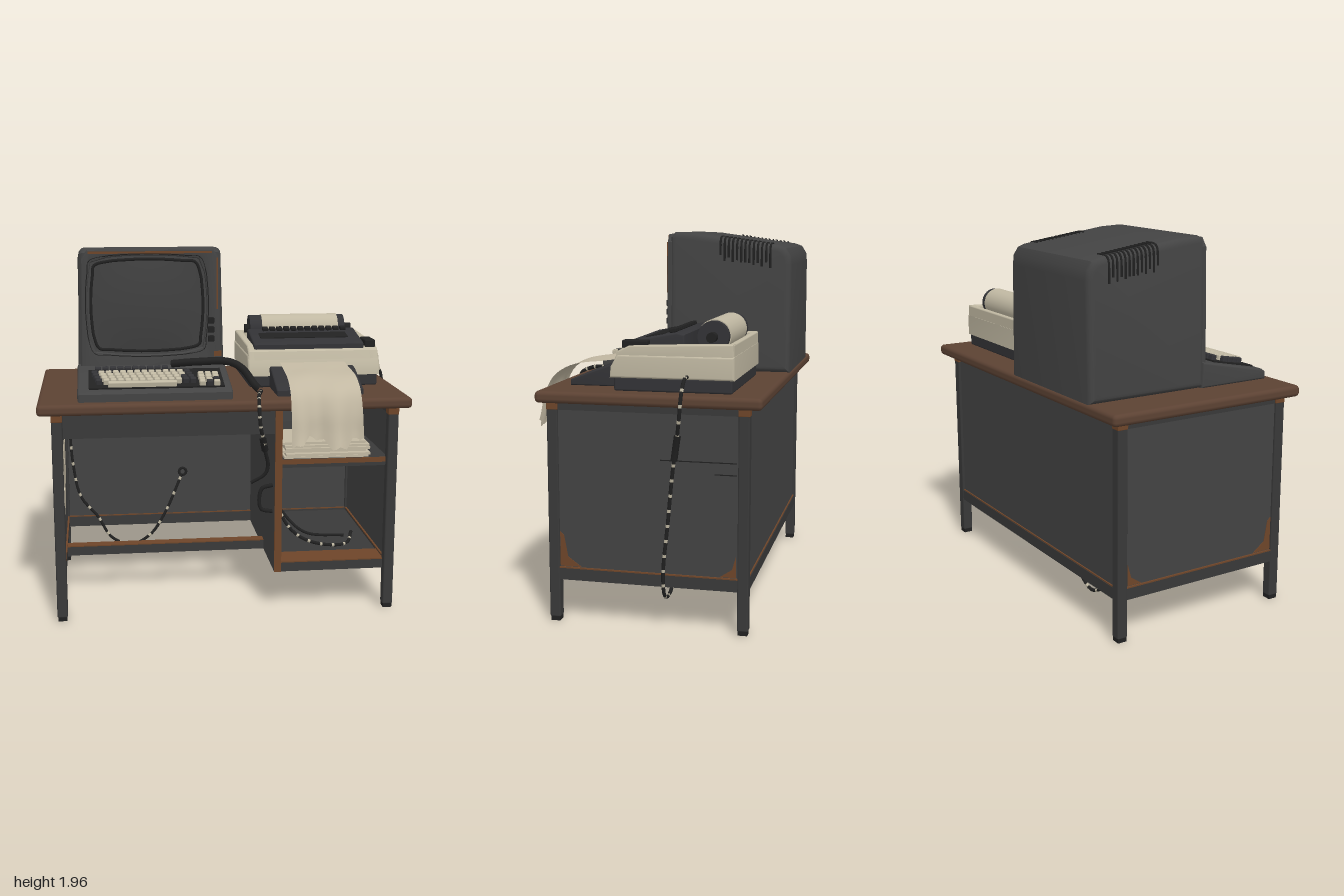
import * as THREE from 'three';
import { toCreasedNormals } from 'three/addons/utils/BufferGeometryUtils.js';
import { RoundedBoxGeometry } from 'three/addons/geometries/RoundedBoxGeometry.js';

const mat = (name, color, side = THREE.FrontSide) => {
  const m = new THREE.MeshStandardMaterial({ color, side });
  m.name = name;
  return m;
};
const V = (x, y, z) => new THREE.Vector3(x, y, z);

export function createModel() {
  const M = {
    grey: mat('dark grey metal', 0x434343),
    steel: mat('leg steel', 0x393939),
    glass: mat('screen glass', 0x404040),
    black: mat('black', 0x212121),
    plastic: mat('printer dark plastic', 0x333336),
    wood: mat('brown wood', 0x5c4233),
    rust: mat('rust', 0x6e4529, THREE.DoubleSide),
    cream: mat('cream plastic', 0xc0b8a2),
    paper: mat('paper', 0xc2b8a2, THREE.DoubleSide),
  };
  const root = new THREE.Group();
  const group = (name) => { const g = new THREE.Group(); g.name = name; root.add(g); return g; };
  const add = (parent, name, geo, m) => {
    const mesh = new THREE.Mesh(geo, m);
    mesh.name = name;
    parent.add(mesh);
    return mesh;
  };
  // Box given by its limits on each axis
  const box = (p, name, [x0, x1], [y0, y1], [z0, z1], m, r = 0) => {
    const s = [x1 - x0, y1 - y0, z1 - z0];
    const g = r ? new RoundedBoxGeometry(...s, 2, r) : new THREE.BoxGeometry(...s);
    return add(p, name, g.translate((x0 + x1) / 2, (y0 + y1) / 2, (z0 + z1) / 2), m);
  };
  // Side profile of [z, y] points, extruded from x0 to x1 with rounded edges
  const prism = (p, name, pts, x0, x1, b, m, rule) => {
    const shape = new THREE.Shape(pts.map(([z, y]) => new THREE.Vector2(z, y)));
    const g = new THREE.ExtrudeGeometry(shape, { depth: x1 - x0 - 2 * b, bevelEnabled: b > 0, bevelSize: b, bevelThickness: b, bevelOffset: -b, bevelSegments: 4 });
    g.translate(0, 0, b).rotateY(-Math.PI / 2).translate(x1, 0, 0);
    if (rule) rule(g.attributes.position);
    return add(p, name, toCreasedNormals(g, 0.6), m);
  };
  // Tube through points; a second material adds worn bands
  const tube = (p, name, pts, r, m, m2, closed = false) => {
    const n = pts.length * 8;
    const g = new THREE.TubeGeometry(new THREE.CatmullRomCurve3(pts.map((q) => V(...q)), closed), n, r, 6, closed);
    if (m2) for (let i = 0; i < n; i++) g.addGroup(i * 36, 36, i % 5 === 3 ? 1 : 0);
    return add(p, name, g, m2 ? [m, m2] : m);
  };
  // Flat patch on a side panel, from [z, y] points
  const patch = (p, name, pts, x, m) => prism(p, name, pts, x, x + 0.004, 0, m);

  // Desk
  const desk = group('desk');
  box(desk, 'tableTop', [-1, 0.97], [1.13, 1.19], [-0.63, 0.5], M.wood, 0.022);
  for (const x of [-0.9, 0.88]) for (const z of [-0.535, 0.43]) {
    box(desk, 'leg', [x - 0.028, x + 0.028], [0.02, 1.13], [z - 0.028, z + 0.028], M.steel, 0.008);
    box(desk, 'legFoot', [x - 0.024, x + 0.024], [0, 0.03], [z - 0.024, z + 0.024], M.black);
    box(desk, 'legTopRust', [x - 0.029, x + 0.029], [1.09, 1.13], [z - 0.029, z + 0.029], M.rust, 0.004);
  }
  for (const x of [-0.9, 0.88]) {
    const s = Math.sign(x);
    box(desk, 'sidePanel', [x - 0.015, x + 0.015], [0.26, 1.13], [-0.51, 0.41], M.grey);
    box(desk, 'sideRail', [x - 0.024, x + 0.024], [0.22, 0.28], [-0.51, 0.41], M.steel);
    box(desk, 'sideRailRust', [x - 0.025, x + 0.025], [0.28, 0.287], [-0.51, 0.41], M.rust);
    box(desk, 'sideTopRail', [x - 0.02, x + 0.02], [1.09, 1.13], [-0.51, 0.41], M.steel);
    patch(desk, 'cornerRust', [[0.4, 0.29], [0.29, 0.29], [0.36, 0.34], [0.38, 0.45], [0.4, 0.47]], x + s * 0.016 - 0.002, M.rust);
    patch(desk, 'cornerRust', [[-0.5, 0.29], [-0.42, 0.29], [-0.48, 0.33], [-0.5, 0.4]], x + s * 0.016 - 0.002, M.rust);
  }
  box(desk, 'panelSeam', [0.893, 0.898], [0.857, 0.862], [-0.5, -0.12], M.black);
  box(desk, 'panelSeam', [0.893, 0.898], [0.798, 0.803], [-0.5, -0.39], M.black);
  box(desk, 'backPanel', [-0.88, 0.86], [0.26, 1.13], [-0.55, -0.52], M.grey);
  box(desk, 'backRail', [-0.88, 0.86], [0.22, 0.28], [-0.56, -0.51], M.steel);
  box(desk, 'backRailRust', [-0.88, 0.86], [0.28, 0.286], [-0.557, -0.513], M.rust);
  box(desk, 'stretcher', [-0.88, 0.26], [0.22, 0.27], [-0.03, 0.03], M.steel);
  box(desk, 'stretcherRust', [-0.88, 0.26], [0.27, 0.276], [-0.03, 0.03], M.rust);
  box(desk, 'apronDrawer', [-0.87, 0.25], [0.99, 1.13], [0.36, 0.4], M.steel);
  patch(desk, 'peeledPaint', [[0.23, 0.84], [0.2, 0.9], [0.06, 0.88], [0.03, 0.72], [-0.02, 0.86], [-0.2, 0.86], [-0.22, 0.66], [-0.1, 0.6], [-0.03, 0.52],
    [0.08, 0.48], [0.12, 0.56], [0.05, 0.63], [0.16, 0.66], [0.12, 0.74]], -0.884, M.paper);
  patch(desk, 'darkStain', [[0.38, 0.36], [0.2, 0.4], [0.2, 0.58], [0.38, 0.54]], -0.884, M.black);

  // Pedestal with open shelves
  const ped = group('pedestal');
  box(ped, 'partition', [0.25, 0.285], [0.22, 1.13], [-0.52, 0.42], M.grey);
  box(ped, 'partitionEdge', [0.248, 0.287], [0.22, 1.13], [0.42, 0.427], M.rust);
  box(ped, 'pedestalFloor', [0.285, 0.865], [0.22, 0.27], [-0.52, 0.42], M.steel);
  box(ped, 'floorRust', [0.285, 0.865], [0.27, 0.276], [0.26, 0.42], M.rust);
  box(ped, 'shelf', [0.285, 0.865], [0.805, 0.85], [-0.52, 0.42], M.steel);
  box(ped, 'shelfEdgeRust', [0.285, 0.865], [0.825, 0.852], [0.42, 0.425], M.rust);
  tube(ped, 'handle', [[0.25, 0.69, 0.34], [0.19, 0.67, 0.34], [0.185, 0.56, 0.34], [0.25, 0.54, 0.34]], 0.011, M.black);
  for (let i = 0; i < 6; i++) {
    const o = 0.012 * Math.sin(i * 2.3);
    box(ped, 'paperStackLayer', [0.3 + o, 0.76 + o], [0.852 + i * 0.015, 0.864 + i * 0.015], [0.08, 0.41 + o], M.paper);
  }

  // Terminal: monitor housing narrows toward the top
  const term = group('terminal');
  const CX = -0.385;
  const narrow = (pos) => {
    for (let i = 0; i < pos.count; i++) {
      const k = 1 - 0.05 * (pos.getY(i) - 1.19) / 0.77;
      pos.setX(i, CX + (pos.getX(i) - CX) * k);
    }
  };
  prism(term, 'monitorHousing', [[0.045, 1.19], [0.045, 1.93], [0.02, 1.955], [-0.1, 1.95], [-0.56, 1.885], [-0.6, 1.87], [-0.625, 1.83], [-0.63, 1.78], [-0.63, 1.19]],
    CX - 0.405, CX + 0.405, 0.035, M.grey, narrow);
  // Screen outline: a square with bowed sides
  const bow = (u, v, w, h) => [CX - 0.02 + u * w * (1 - 0.08 * v * v), 1.645 + v * h * (1 - 0.08 * u * u)];
  const outline = (w, h) => {
    const pts = [];
    for (let s = 0; s < 4; s++) for (let i = 0; i < 8; i++) {
      const t = -0.94 + i * 0.235;
      pts.push(bow(...[[t, -1], [1, t], [-t, 1], [-1, -t]][s], w, h));
    }
    return pts;
  };
  const vec2 = (pts) => pts.map(([x, y]) => new THREE.Vector2(x, y));
  const front = new THREE.Shape(vec2([[-0.775, 1.2], [0.005, 1.2], [-0.012, 1.9], [-0.045, 1.945], [-0.725, 1.945], [-0.758, 1.9]]));
  front.holes.push(new THREE.Path(vec2(outline(0.325, 0.27))));
  add(term, 'frontBezel', toCreasedNormals(new THREE.ExtrudeGeometry(front, { depth: 0.02, bevelSize: 0.012, bevelThickness: 0.01, bevelOffset: -0.012, bevelSegments: 2 }).translate(0, 0, 0.035), 0.6), M.grey);
  const scr = new THREE.PlaneGeometry(2, 2, 16, 16), sp = scr.attributes.position;
  for (let i = 0; i < sp.count; i++) {
    const u = sp.getX(i), v = sp.getY(i);
    sp.setXYZ(i, ...bow(u, v, 0.31, 0.255), 0.047 + 0.025 * (1 - u * u) * (1 - v * v));
  }
  scr.computeVertexNormals();
  add(term, 'screen', scr, M.glass);
  tube(term, 'screenGasket', outline(0.305, 0.25).map(([x, y]) => [x, y, 0.05]), 0.009, M.black, null, true);
  tube(term, 'bezelEdge', outline(0.335, 0.28).map(([x, y]) => [x, y, 0.062]), 0.004, M.black, null, true);
  box(term, 'bezelTopRust', [-0.72, -0.05], [1.925, 1.937], [0.06, 0.067], M.rust);
  box(term, 'bezelSideRust', [-0.028, -0.018], [1.62, 1.9], [0.06, 0.067], M.rust);
  box(term, 'bezelLowerRust', [-0.04, 0], [1.36, 1.39], [0.06, 0.067], M.rust);
  for (const y of [1.46, 1.51, 1.56]) box(term, 'controlButton', [-0.075, -0.04], [y - 0.017, y + 0.017], [0.06, 0.078], M.black, 0.005);
  // Vent slats wrap over both upper edges
  for (const s of [-1, 1]) for (let i = 0; i < 13; i++) {
    const z = -0.24 - i * 0.023, top = 1.95 + (z + 0.1) * 0.141;
    const low = top - 0.1 - 0.03 * Math.abs(Math.sin(i * 1.7));
    tube(term, 'ventSlat', [[CX + s * 0.389, low, z], [CX + s * 0.387, top - 0.045, z], [CX + s * 0.376, top - 0.011, z], [CX + s * 0.345, top, z], [CX + s * 0.29, top, z]], 0.0065, M.black);
  }

  // Keyboard deck and keys
  prism(term, 'keyboardDeck', [[0.03, 1.19], [0.44, 1.19], [0.44, 1.23], [0.42, 1.245], [0.03, 1.325]], CX - 0.405, CX + 0.405, 0.012, M.grey);
  const keys = new THREE.Group();
  keys.name = 'keys';
  keys.position.set(0, 1.245, 0.42);
  keys.rotation.x = 0.202;
  term.add(keys);
  const key = (x, w, z, m) => box(keys, 'key', [x - w / 2, x + w / 2], [0, 0.035], [z - 0.015, z + 0.015], m, 0.006);
  box(keys, 'keyWell', [-0.73, -0.02], [0, 0.008], [-0.28, -0.02], M.black);
  for (let c = 0; c < 10; c++) key(-0.68 + c * 0.04, 0.033, -0.255, M.plastic);
  for (let r = 0; r < 4; r++) for (let c = 0; c < 14; c++) {
    key(-0.7 + c * 0.038 + r * 0.008, 0.032, -0.195 + r * 0.038, c === 0 || c > 12 - (r > 1) ? M.plastic : M.cream);
  }
  key(-0.45, 0.36, -0.04, M.cream);
  for (let r = 0; r < 4; r++) for (let c = 0; c < 3; c++) key(-0.135 + c * 0.038, 0.032, -0.155 + r * 0.038, (r + c) % 5 === 4 ? M.plastic : M.cream);

  // Printer
  const pr = group('printer');
  box(pr, 'printerBase', [0.15, 0.87], [1.19, 1.26], [-0.47, 0.12], M.plastic, 0.01);
  prism(pr, 'printerShell', [[0.14, 1.255], [0.135, 1.31], [0.1, 1.37], [-0.48, 1.37], [-0.48, 1.255]], 0.14, 0.88, 0.012, M.cream);
  for (const [a, b] of [[0.145, 0.185], [0.82, 0.875]])
    prism(pr, 'shellSide', [[0.125, 1.32], [0.1, 1.385], [0.04, 1.415], [-0.475, 1.43], [-0.475, 1.32]], a, b, 0.008, M.cream);
  box(pr, 'shellBack', [0.15, 0.87], [1.35, 1.43], [-0.478, -0.448], M.cream, 0.008);
  prism(pr, 'shellFront', [[0.125, 1.32], [0.1, 1.385], [0.07, 1.405], [0.07, 1.32]], 0.15, 0.87, 0.005, M.cream);
  box(pr, 'printerWell', [0.185, 0.82], [1.365, 1.375], [-0.448, 0.07], M.plastic);
  prism(pr, 'printerDeck', [[0.085, 1.36], [0.085, 1.42], [0.06, 1.43], [-0.18, 1.475], [-0.22, 1.465], [-0.22, 1.36]], 0.18, 0.8, 0.01, M.plastic);
  const deck = new THREE.Group();
  deck.name = 'deckDetails';
  deck.position.set(0, 1.43, 0.06);
  deck.rotation.x = 0.185;
  pr.add(deck);
  box(deck, 'deckWindow', [0.23, 0.73], [-0.005, 0.004], [-0.16, -0.07], M.black);
  for (let i = 0; i < 12; i++) box(deck, 'deckButton', [0.26 + i * 0.041, 0.293 + i * 0.041], [0, 0.02], [-0.23, -0.195], M.black, 0.005);
  box(pr, 'controlBlock', [0.805, 0.865], [1.37, 1.44], [-0.05, 0.08], M.black, 0.008);
  const roll = (name, r, x0, x1, m) => add(pr, name, new THREE.CylinderGeometry(r, r, x1 - x0, 28).rotateZ(Math.PI / 2).translate((x0 + x1) / 2, 1.455, -0.355), m);
  roll('paperRoll', 0.083, 0.28, 0.73, M.cream);
  roll('rollerAxle', 0.025, 0.185, 0.82, M.black);
  for (const [a, b] of [[0.21, 0.28], [0.73, 0.77]]) roll('rollerCap', 0.078, a, b, M.plastic);
  prism(pr, 'paperTray', [[0.12, 1.19], [0.12, 1.31], [0.18, 1.3], [0.39, 1.22], [0.39, 1.19]], 0.26, 0.73, 0.008, M.plastic);

  // Torn sheet hanging over the desk edge
  const path = new THREE.CatmullRomCurve3([[0.1, 1.33], [0.22, 1.315], [0.4, 1.285], [0.5, 1.225], [0.55, 1.13], [0.575, 1.02], [0.6, 0.94]].map(([z, y]) => V(0, y, z)));
  const sheet = new THREE.PlaneGeometry(1, 1, 20, 24), pp = sheet.attributes.position;
  for (let i = 0; i < pp.count; i++) {
    const u = pp.getX(i), t = 0.5 - pp.getY(i);
    const tear = 0.035 * Math.sin(u * 9 + 0.4) + 0.02 * Math.sin(u * 31);
    const q = path.getPointAt(Math.min(1, t * (0.95 + tear * t)));
    pp.setXYZ(i, 0.5 + u * (0.36 + 0.025 * t), q.y + 0.006 * Math.sin(u * 8 + t * 9) * t, q.z + 0.025 * t * t * Math.sin(u * 12));
  }
  sheet.computeVertexNormals();
  add(pr, 'hangingPaper', sheet, M.paper);

  // Cables
  const cab = group('cables');
  tube(cab, 'keyboardCord', [[-0.28, 1.33, 0.11], [-0.15, 1.345, 0.15], [0.03, 1.345, 0.17], [0.1, 1.31, 0.19], [0.16, 1.23, 0.25], [0.18, 1.215, 0.35]], 0.021, M.black);
  tube(cab, 'keyboardCordTail', [[0.18, 1.215, 0.35], [0.155, 1.21, 0.45], [0.145, 1.17, 0.525], [0.15, 1.07, 0.54], [0.18, 0.95, 0.5]], 0.011, M.black, M.cream);
  tube(cab, 'keyboardCordPlug', [[0.165, 1.0, 0.515], [0.185, 0.92, 0.475]], 0.018, M.black);
  tube(cab, 'keyboardCordEnd', [[0.185, 0.92, 0.475], [0.205, 0.83, 0.45], [0.19, 0.78, 0.44], [0.12, 0.73, 0.42]], 0.01, M.black);
  tube(cab, 'printerCord', [[0.87, 1.27, -0.25], [0.94, 1.265, -0.25], [0.985, 1.2, -0.245], [0.99, 1.08, -0.235], [0.955, 0.96, -0.215], [0.935, 0.8, -0.19], [0.928, 0.55, -0.165],
    [0.923, 0.3, -0.14], [0.9, 0.18, -0.14], [0.82, 0.145, -0.14], [0.72, 0.17, -0.14], [0.64, 0.225, -0.14]], 0.0095, M.black, M.cream);
  tube(cab, 'printerCordSleeve', [[0.965, 1.0, -0.223], [0.948, 0.92, -0.208], [0.941, 0.87, -0.2]], 0.017, M.black);
  tube(cab, 'backCord', [[-0.84, 1, -0.47], [-0.855, 0.85, -0.47], [-0.84, 0.6, -0.47], [-0.8, 0.42, -0.47], [-0.7, 0.29, -0.47], [-0.62, 0.16, -0.46], [-0.5, 0.108, -0.46],
    [-0.38, 0.17, -0.46], [-0.29, 0.3, -0.47], [-0.18, 0.54, -0.5]], 0.009, M.black, M.cream);
  add(cab, 'backSocket', new THREE.TorusGeometry(0.022, 0.008, 6, 18).translate(-0.175, 0.55, -0.515), M.black);
  tube(cab, 'pedestalCord', [[0.295, 0.6, 0.2], [0.33, 0.46, 0.24], [0.42, 0.36, 0.25], [0.55, 0.31, 0.25], [0.7, 0.295, 0.2], [0.75, 0.33, 0.1]], 0.009, M.black, M.cream);
  tube(cab, 'pedestalCord', [[0.295, 0.56, -0.2], [0.38, 0.4, -0.1], [0.5, 0.3, 0], [0.72, 0.29, 0.05]], 0.009, M.black);
  return root;
}
